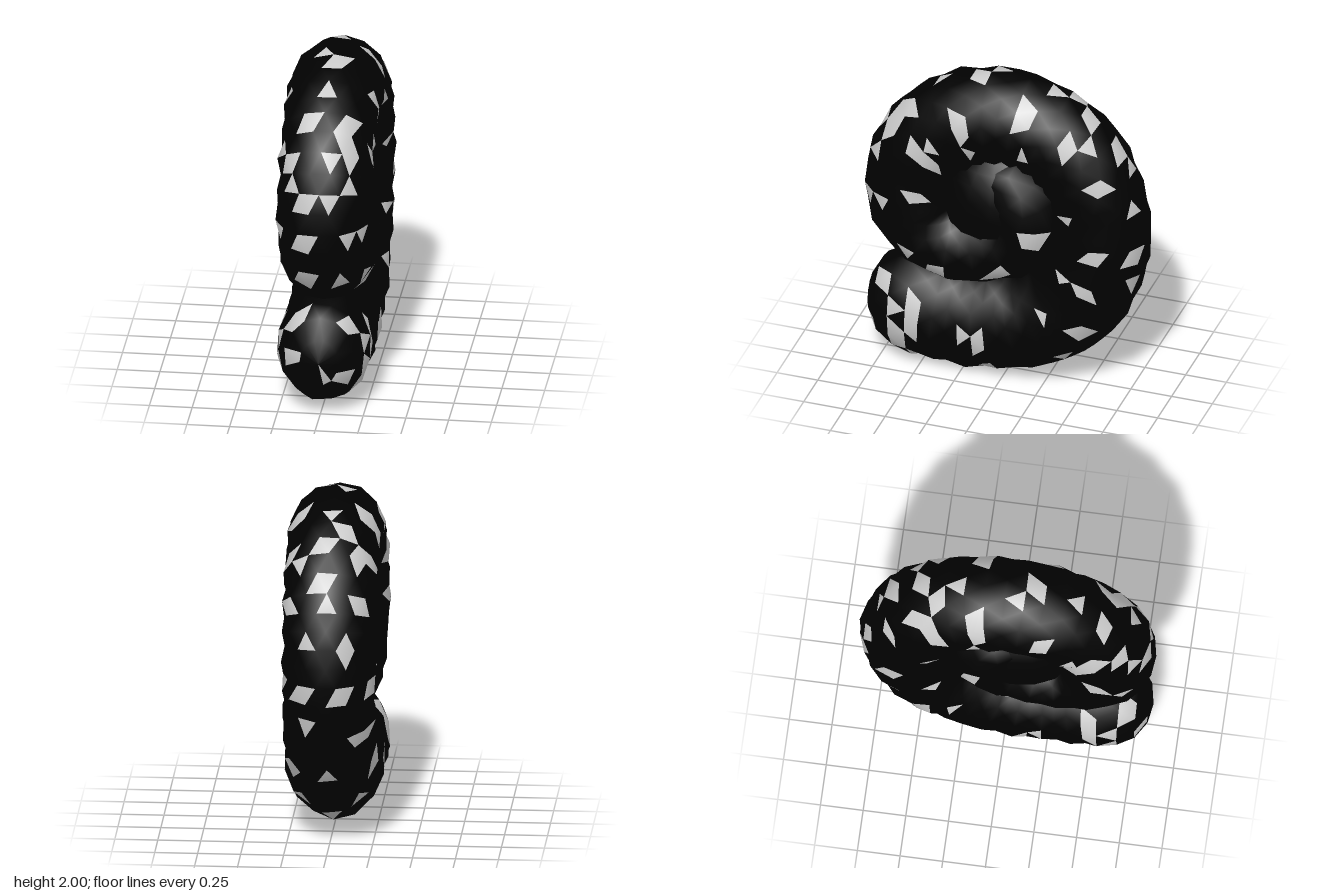
import * as THREE from 'three';

const { smoothstep } = THREE.MathUtils;
const SIDES = 14;
const HALF_WIDTH = 0.272;
const CAP = 0.3;
const DARK = 0x010101;

// Centre line of the coil as [z, y], from the blunt free end round to the core
const PATH = [
  [0.85, 0.36], [0.54, 0.36], [0.2, 0.335], [-0.12, 0.385], [-0.4, 0.57], [-0.55, 0.86],
  [-0.57, 1.2], [-0.43, 1.52], [-0.14, 1.7], [0.19, 1.69], [0.47, 1.5], [0.58, 1.23],
  [0.54, 0.98], [0.38, 0.85], [0.15, 0.84], [-0.08, 0.95], [-0.13, 1.15], [0, 1.29], [0.14, 1.24],
];

// Pale fleck positions for each facing direction, as flat pairs
const SIDE = [ // z, y
  0.71, 1.6, 0.6, 1.73, 0.78, 1.42, 0.5, 1.53, 0.39, 1.57, 0.38, 1.47, 0.28, 1.85, 0.25, 1.73,
  0.15, 1.57, 0.18, 1.2, 0.72, 1.16, 0.5, 1.18, 0.57, 0.85, 0.42, 0.67, 0.68, 0.5, 0.52, 0.47,
  0.64, 0.42, 0.52, 0.36, 0.62, 0.32, 0.58, 0.16, 0.18, 0.32, 0.08, 0.25, 0.04, 0.68, 0.0, 0.8,
  -0.2, 1.08, -0.24, 1.0, -0.45, 1.25, -0.62, 1.05, -0.4, 0.86, -0.6, 0.77, -0.3, 0.57,
  -0.44, 0.48, -0.4, 0.27, -0.14, 1.85, -0.15, 1.62, -0.43, 1.7, -0.58, 1.75, -0.73, 1.48,
  -0.8, 1.28,
];
const FRONT = [ // x, y
  -0.1, 1.74, 0.16, 1.72, 0, 1.9, -0.2, 1.55, 0.1, 1.6, -0.03, 1.38, 0.06, 1.41, -0.12, 1.16,
  0.18, 1.16, -0.08, 0.82, 0.1, 0.8, -0.1, 0.62, 0.12, 0.6, -0.2, 0.4, 0.04, 0.25, 0.18, 0.27,
];
const TOP = [ // x, z
  0, -0.84, 0.1, -0.72, 0, -0.55, -0.04, -0.42, 0.04, -0.3, -0.18, -0.47, 0.2, -0.45,
  -0.18, -0.2, 0.13, -0.15, -0.04, -0.5, -0.06, 0.1, 0.08, 0.12,
];
const BACK = [-0.1, 1.25, 0.1, 1.05, 0.15, 0.8, -0.15, 0.7, 0, 0.5, -0.08, 0.95]; // x, y
const BOTTOM = [-0.15, 0.3, 0.1, 0.1, 0, -0.3, 0.15, 0.5, -0.1, -0.1]; // x, z

function seeded(seed) {
  return () => {
    seed = (seed * 16807) % 2147483647;
    return seed / 2147483647;
  };
}

// Knobbly tube swept along the flat spiral, with staggered rings
function coilGeometry() {
  const rand = seeded(71);
  const curve = new THREE.CatmullRomCurve3(PATH.map(([z, y]) => new THREE.Vector3(0, y, z)));
  const length = curve.getLength();
  const stations = [0, 1, 2, 3].map((k) => CAP * (1 - Math.cos((k * Math.PI) / 8)));
  const body = 60;
  for (let k = 0; k <= body; k++) stations.push(CAP + ((length - CAP) * k) / body);

  const positions = [];
  const index = [];
  const X = new THREE.Vector3(1, 0, 0);
  stations.forEach((s, i) => {
    const u = Math.min(1, s / length);
    const p = curve.getPointAt(u);
    const n = new THREE.Vector3().crossVectors(X, curve.getTangentAt(u));
    // Both ends are rounded; the tube slims from the free end to the inner coil
    const toEnd = Math.max(0, Math.min(s, length - s));
    const cap = toEnd < CAP ? (1 - (1 - toEnd / CAP) ** 2.2) ** (1 / 2.2) : 1;
    const inner = smoothstep(u, 0.72, 0.85);
    const radius = 0.33 - 0.045 * smoothstep(u, 0.08, 0.38) - 0.05 * inner;
    const halfWidth = HALF_WIDTH - 0.02 * inner;
    const ridge = i % 2 ? 0.975 : 1.02;
    for (let j = 0; j < SIDES; j++) {
      const a = ((j + (i % 2) / 2) / SIDES) * Math.PI * 2;
      const r = cap * (ridge + 0.06 * (rand() - 0.5));
      positions.push(
        Math.sin(a) * r * halfWidth,
        p.y + n.y * Math.cos(a) * r * radius,
        p.z + n.z * Math.cos(a) * r * radius,
      );
    }
  });
  for (let i = 0; i < stations.length - 1; i++) {
    for (let j = 0; j < SIDES; j++) {
      const a = i * SIDES + j;
      const b = i * SIDES + ((j + 1) % SIDES);
      const c = a + SIDES;
      const d = b + SIDES;
      if (i % 2) index.push(a, b, d, a, d, c);
      else index.push(a, b, c, b, d, c);
    }
  }
  const g = new THREE.BufferGeometry();
  g.setAttribute('position', new THREE.Float32BufferAttribute(positions, 3));
  g.setIndex(index);
  g.computeVertexNormals();
  return g;
}

// Choose the outward facets lying under the fleck positions
function pickFlecks(g) {
  const idx = g.index.array;
  const facets = [];
  for (let t = 0; t < idx.length; t += 3) {
    const [a, b, c] = [0, 1, 2].map((k) =>
      new THREE.Vector3().fromBufferAttribute(g.attributes.position, idx[t + k]));
    const tri = new THREE.Triangle(a, b, c);
    facets.push({
      centre: tri.getMidpoint(new THREE.Vector3()),
      normal: tri.getNormal(new THREE.Vector3()),
    });
  }
  const chosen = new Set();
  const mark = (points, h, v, axis, sign) => {
    for (let k = 0; k < points.length; k += 2) {
      let best = -1;
      let bestScore = -Infinity;
      facets.forEach(({ centre, normal }, t) => {
        const dist = Math.hypot(centre[h] - points[k], centre[v] - points[k + 1]);
        const score = 0.5 * sign * centre[axis] - dist;
        if (dist < 0.12 && sign * normal[axis] > 0.2 && score > bestScore) {
          best = t;
          bestScore = score;
        }
      });
      if (best < 0) continue;
      chosen.add(best);
      if (k % 4) chosen.add(best ^ 1); // every other fleck covers a whole quad
    }
  };
  mark(SIDE, 'z', 'y', 'x', 1);
  mark(SIDE, 'z', 'y', 'x', -1);
  mark(FRONT, 'x', 'y', 'z', 1);
  mark(TOP, 'x', 'z', 'y', 1);
  mark(BACK, 'x', 'y', 'z', -1);
  mark(BOTTOM, 'x', 'z', 'y', -1);
  return chosen;
}

export function createModel() {
  const group = new THREE.Group();
  group.name = 'curledCoil';
  const base = coilGeometry();
  const flecks = pickFlecks(base);

  const addMesh = (name, geometry, color) => {
    const mesh = new THREE.Mesh(geometry, new THREE.MeshStandardMaterial({ color }));
    mesh.name = name;
    group.add(mesh);
    return mesh;
  };

  // Dark hide and pale flecks share the same vertices and normals
  const facetSubset = (wanted) => {
    const g = base.clone();
    const all = base.index.array;
    g.setIndex(Array.from(all).filter((_, n) => flecks.has(Math.floor(n / 3)) === wanted));
    return g;
  };
  addMesh('darkCoil', facetSubset(false), DARK);
  addMesh('paleFlecks', facetSubset(true), 0xcccccc);

  // Domed core closing the middle of the coil
  const core = addMesh('core', new THREE.SphereGeometry(1, 16, 12), DARK);
  core.scale.set(0.235, 0.38, 0.38);
  core.position.set(0, 1.12, 0.04);

  return group;
}
